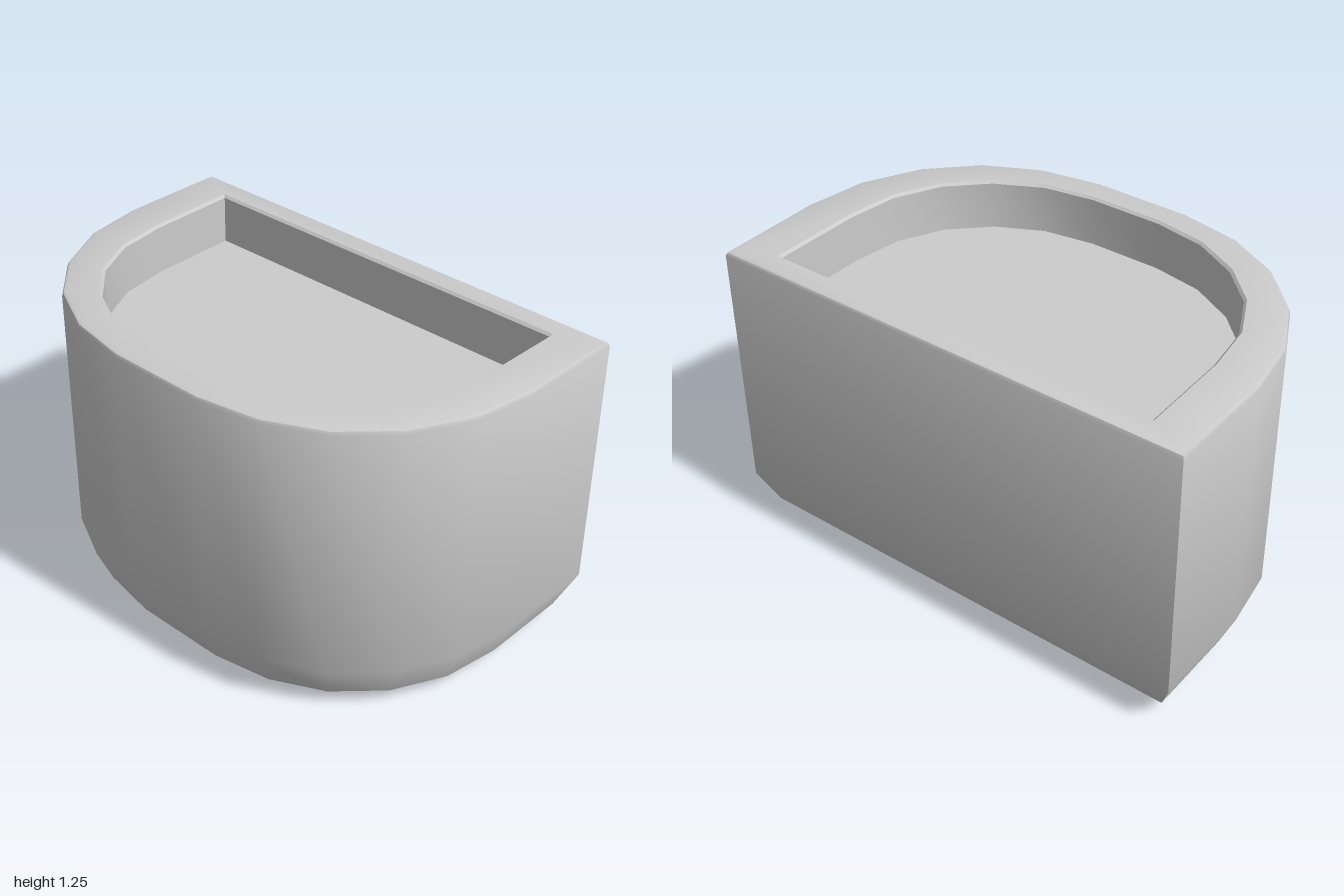
import * as THREE from 'three';
import { toCreasedNormals } from 'three/addons/utils/BufferGeometryUtils.js';

// Right halves of the D-shaped outlines as [x, z], from back corner to front
const OUTER = [[1, -0.625], [1, -0.18], [0.96, 0.07], [0.845, 0.295], [0.67, 0.47], [0.45, 0.58], [0.2, 0.625]];
const INNER = [[0.815, -0.52], [0.81, -0.15], [0.78, 0.06], [0.69, 0.24], [0.545, 0.38], [0.36, 0.475], [0.15, 0.51]];

const mirror = half => [...half, ...half.map(([x, z]) => [-x, z]).reverse()];

// Move every side of a closed outline inward by t, with mitred corners
function inset(loop, t) {
  const n = loop.length;
  const normal = i => {
    const [a, b] = [loop[(i + n) % n], loop[(i + 1) % n]];
    const dx = b[0] - a[0], dz = b[1] - a[1], len = Math.hypot(dx, dz);
    return [-dz / len, dx / len];
  };
  return loop.map(([x, z], i) => {
    const p = normal(i - 1), q = normal(i);
    const k = t / (1 + p[0] * q[0] + p[1] * q[1]);
    return [x + k * (p[0] + q[0]), z + k * (p[1] + q[1])];
  });
}

// Skin a series of rings, leaving out zero-area triangles at the centres
function loft(rings) {
  const pos = [];
  const tri = (a, b, c) => {
    const area = b.clone().sub(a).cross(c.clone().sub(a)).length();
    if (area > 1e-8) for (const v of [a, b, c]) pos.push(v.x, v.y, v.z);
  };
  for (let r = 0; r < rings.length - 1; r++) {
    const a = rings[r], b = rings[r + 1];
    for (let i = 0; i < a.length; i++) {
      const j = (i + 1) % a.length;
      tri(a[i], b[i], b[j]);
      tri(a[i], b[j], a[j]);
    }
  }
  const geo = new THREE.BufferGeometry();
  geo.setAttribute('position', new THREE.Float32BufferAttribute(pos, 3));
  return toCreasedNormals(geo, 0.6);
}

export function createModel() {
  const group = new THREE.Group();
  group.name = 'planter';
  const material = new THREE.MeshStandardMaterial({ color: 0xcccccc });
  const outer = mirror(OUTER), inner = mirror(INNER);
  const ring = (loop, t, y) => inset(loop, t).map(([x, z]) => new THREE.Vector3(x, y, z));
  const centre = y => outer.map(() => new THREE.Vector3(0, y, 0));
  const add = (name, rings) => {
    const mesh = new THREE.Mesh(loft(rings), material);
    mesh.name = name;
    group.add(mesh);
  };

  // Tapered base, upright wall, softened rim and the inside wall
  add('shell', [
    centre(0),
    ring(outer, 0.205, 0),
    ring(outer, 0.062, 0.065),
    ring(outer, 0, 0.21),
    ring(outer, 0, 1.238),
    ring(outer, 0.005, 1.25),
    ring(outer, 0.017, 1.255),
    ring(inner, -0.01, 1.255),
    ring(inner, 0, 1.245),
    ring(inner, 0, 1.05),
  ]);

  // Flat fill inside the recess
  add('recessFloor', [ring(inner, 0, 1.05), centre(1.05)]);

  return group;
}
